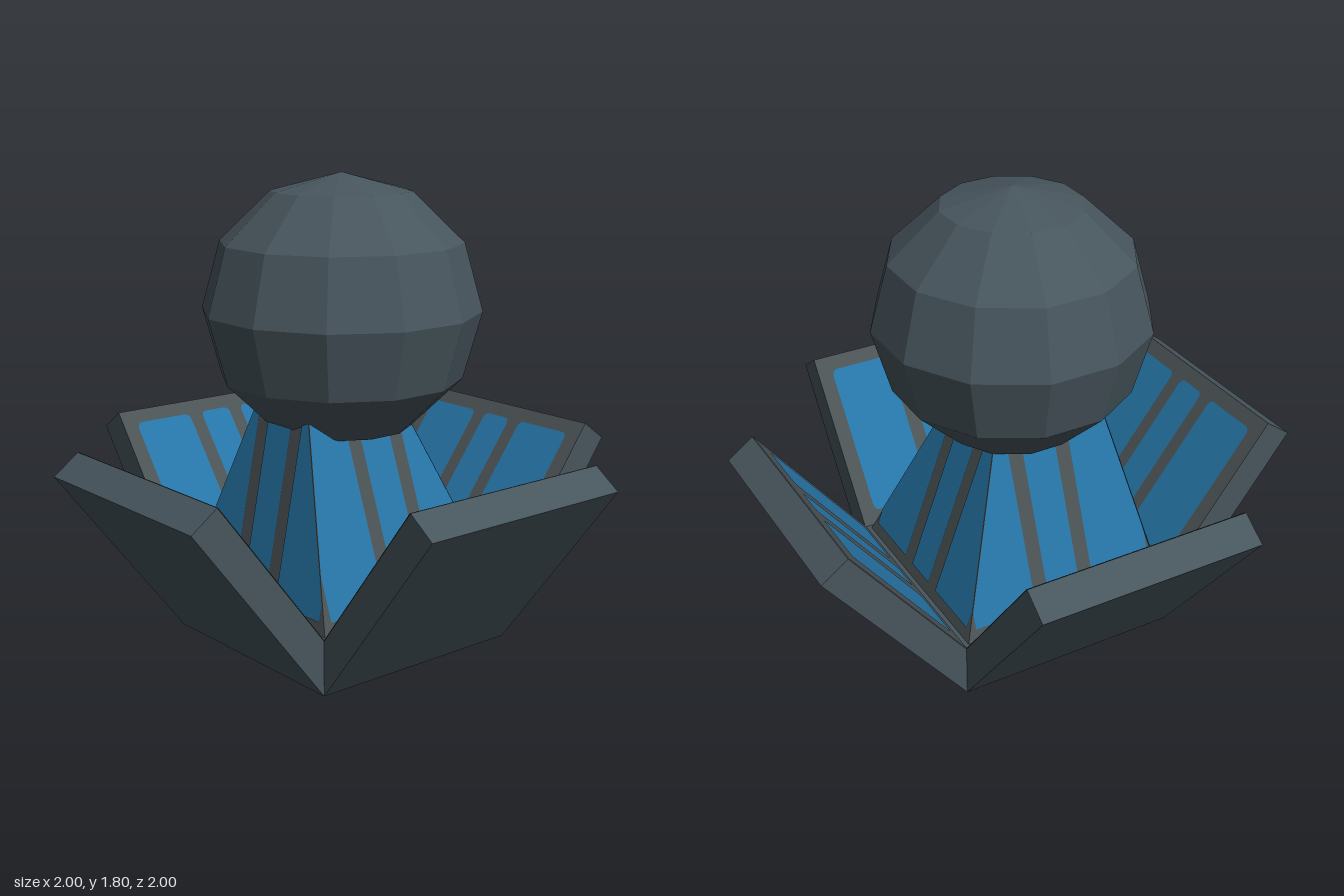
import * as THREE from 'three';

const RIM = 0.21;       // height of the base block
const TOP = 0.98;       // pedestal top, hidden inside the ball
const FOOT = 0.43;      // pedestal half width at its foot
const LEAN = [0.2, 0.375, 0.375, 0.375]; // inward lean: front, left, back, right

function createMaterials() {
  const make = (name, color, side = THREE.FrontSide) => {
    const m = new THREE.MeshStandardMaterial({ color, side, flatShading: true });
    m.name = name;
    return m;
  };
  return {
    shell: make('slate shell', 0x47555d),
    lining: make('grey lining', 0x4c5355, THREE.DoubleSide),
    panel: make('blue panel', 0x2676a8, THREE.DoubleSide),
  };
}

function polygon(points) {
  return new THREE.Shape(points.map(([x, y]) => new THREE.Vector2(x, y)));
}

function roundedRect(x0, x1, y0, y1, r) {
  const s = new THREE.Shape();
  s.moveTo(x0 + r, y0);
  s.lineTo(x1 - r, y0);
  s.quadraticCurveTo(x1, y0, x1, y0 + r);
  s.lineTo(x1, y1 - r);
  s.quadraticCurveTo(x1, y1, x1 - r, y1);
  s.lineTo(x0 + r, y1);
  s.quadraticCurveTo(x0, y1, x0, y1 - r);
  s.lineTo(x0, y0 + r);
  s.quadraticCurveTo(x0, y0, x0 + r, y0);
  return s;
}

// Flat shape laid on a sloping face, with z given as a function of y
function slanted(shape, zAt) {
  const g = new THREE.ShapeGeometry(shape, 4);
  const p = g.attributes.position;
  for (let i = 0; i < p.count; i++) p.setZ(i, zAt(p.getY(i)));
  g.computeVertexNormals();
  return g;
}

export function createModel() {
  const mat = createMaterials();
  const model = new THREE.Group();
  model.name = 'ballOnOpenBox';
  const add = (parent, name, geometry, material) => {
    const m = new THREE.Mesh(geometry, material);
    m.name = name;
    parent.add(m);
    return m;
  };

  // Base block
  add(model, 'base', new THREE.BoxGeometry(0.9, RIM, 0.9).translate(0, RIM / 2, 0), mat.shell);

  // Ball
  const ball = new THREE.SphereGeometry(0.533, 12, 6).rotateY(Math.PI / 12);
  ball.scale(1, 0.966, 1).translate(0, 1.29, 0);
  add(model, 'ball', ball, mat.shell);

  // Tapered pedestal, steeper at the front
  const edge = (k, y) => FOOT - LEAN[k] * (y - RIM);
  const pedestal = new THREE.BoxGeometry(1, 1, 1);
  const p = pedestal.attributes.position;
  for (let i = 0; i < p.count; i++) {
    const y = p.getY(i) > 0 ? TOP : RIM;
    const x = p.getX(i) > 0 ? edge(1, y) : -edge(3, y);
    const z = p.getZ(i) > 0 ? edge(0, y) : -edge(2, y);
    p.setXYZ(i, x, y, z);
  }
  pedestal.computeVertexNormals();
  add(model, 'pedestal', pedestal, mat.lining);

  // Flap: sloping slab with a vertical inner end
  const flapShape = polygon([[0.45, 0], [1, 0.715], [0.895, 0.79], [0.45, RIM]]);
  const flapGeometry = new THREE.ExtrudeGeometry(flapShape, { depth: 0.9, bevelEnabled: false })
    .translate(0, 0, -0.45).rotateY(-Math.PI / 2);
  const flapZ = (lift) => (y) => 0.45 + (y - RIM) * (0.445 / 0.58) - lift;
  const liningGeometry = slanted(polygon([[-0.45, RIM], [0.45, RIM], [0.45, 0.79], [-0.45, 0.79]]), flapZ(0.003));
  const strips = [[-0.39, -0.13], [-0.07, 0.07], [0.13, 0.39]];

  for (let k = 0; k < 4; k++) {
    const side = new THREE.Group();
    side.name = ['front', 'left', 'back', 'right'][k] + 'Side';
    side.rotation.y = k * Math.PI / 2;
    model.add(side);

    // Flap with its lining and three blue panels
    add(side, 'flap', flapGeometry, mat.shell);
    add(side, 'flapLining', liningGeometry, mat.lining);
    for (const [x0, x1] of strips) {
      add(side, 'flapPanel', slanted(roundedRect(x0, x1, 0.255, 0.745, 0.025), flapZ(0.007)), mat.panel);
    }

    // Blue panels on the pedestal face, cut off by its sloping edges
    const faceZ = (y) => edge(k, y) + 0.004;
    const y0 = 0.255;
    add(side, 'pedestalPanel', slanted(polygon([[-0.07, y0], [0.07, y0], [0.07, TOP], [-0.07, TOP]]), faceZ), mat.panel);
    for (const s of [-1, 1]) {
      const n = (k + 4 + s) % 4;
      const bend = RIM + (FOOT - 0.39) / LEAN[n];
      const outline = [[0.13, y0], [0.39, y0], [0.39, bend], [edge(n, TOP), TOP], [0.13, TOP]];
      add(side, 'pedestalPanel', slanted(polygon(outline.map(([x, y]) => [s * x, y])), faceZ), mat.panel);
    }
  }
  return model;
}
